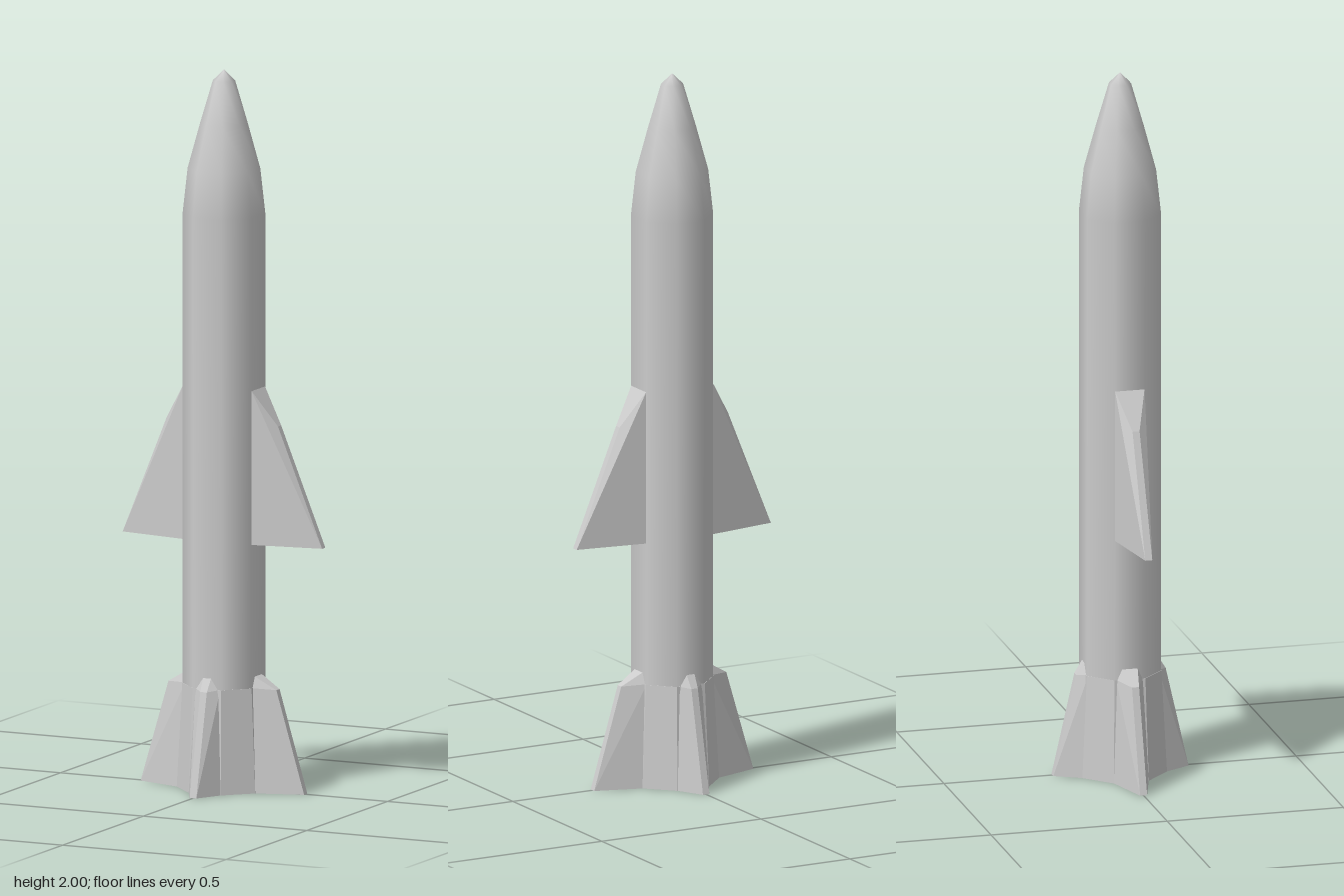
import * as THREE from 'three';
import { ConvexGeometry } from 'three/addons/geometries/ConvexGeometry.js';

const smooth = new THREE.MeshStandardMaterial({ color: 0xcccccc });
const faceted = new THREE.MeshStandardMaterial({ color: 0xcccccc, flatShading: true });

// Convex solid from [x, y, halfThickness] stations, mirrored across z = 0
function blade(stations) {
  const points = stations.flatMap(([x, y, t]) => [
    new THREE.Vector3(x, y, t),
    new THREE.Vector3(x, y, -t),
  ]);
  return new ConvexGeometry(points);
}

export function createModel() {
  const model = new THREE.Group();
  model.name = 'rocket';

  function add(name, geometry, material, turn = 0) {
    const mesh = new THREE.Mesh(geometry, material);
    mesh.name = name;
    mesh.rotation.y = turn;
    model.add(mesh);
  }

  // Eight-sided smooth body with a tapering nose; flats face the axes
  const R = 0.105 / Math.cos(Math.PI / 8);
  const profile = [[1, 0.27], [1, 1.6], [0.88, 1.725], [0.58, 1.85], [0.27, 1.97], [0.001, 2]]
    .map(([r, y]) => new THREE.Vector2(r * R, y));
  add('body', new THREE.LatheGeometry(profile, 8, Math.PI / 8), smooth);

  // Flared tail skirt
  const skirt = new THREE.CylinderGeometry(R + 0.001, 0.13, 0.29, 8, 1, false, Math.PI / 8);
  skirt.translate(0, 0.145, 0);
  add('tailSkirt', skirt, faceted);

  // Tail fins: long pair on the sides, short pair front and back
  const tailFin = (tip, shoulder, top) => blade([
    [0.1, 0.29, 0.038], [0.118, 0, 0.05],
    [0.105, 0.32, top], [shoulder, 0.285, 0.01], [tip, 0, 0.01],
  ]);
  const sideFin = tailFin(0.25, 0.165, 0.022);
  const shortFin = tailFin(0.192, 0.127, 0.012);
  add('leftTailFin', sideFin, faceted);
  add('rightTailFin', sideFin, faceted, Math.PI);
  add('frontTailFin', shortFin, faceted, -Math.PI / 2);
  add('backTailFin', shortFin, faceted, Math.PI / 2);

  // Swept wings, thick at the root and narrow at the edge
  const wing = blade([
    [0.104, 1.12, 0.042], [0.104, 0.69, 0.042],
    [0.17, 1.02, 0.01], [0.305, 0.69, 0.01],
  ]);
  add('leftWing', wing, faceted);
  add('rightWing', wing, faceted, Math.PI);

  return model;
}
